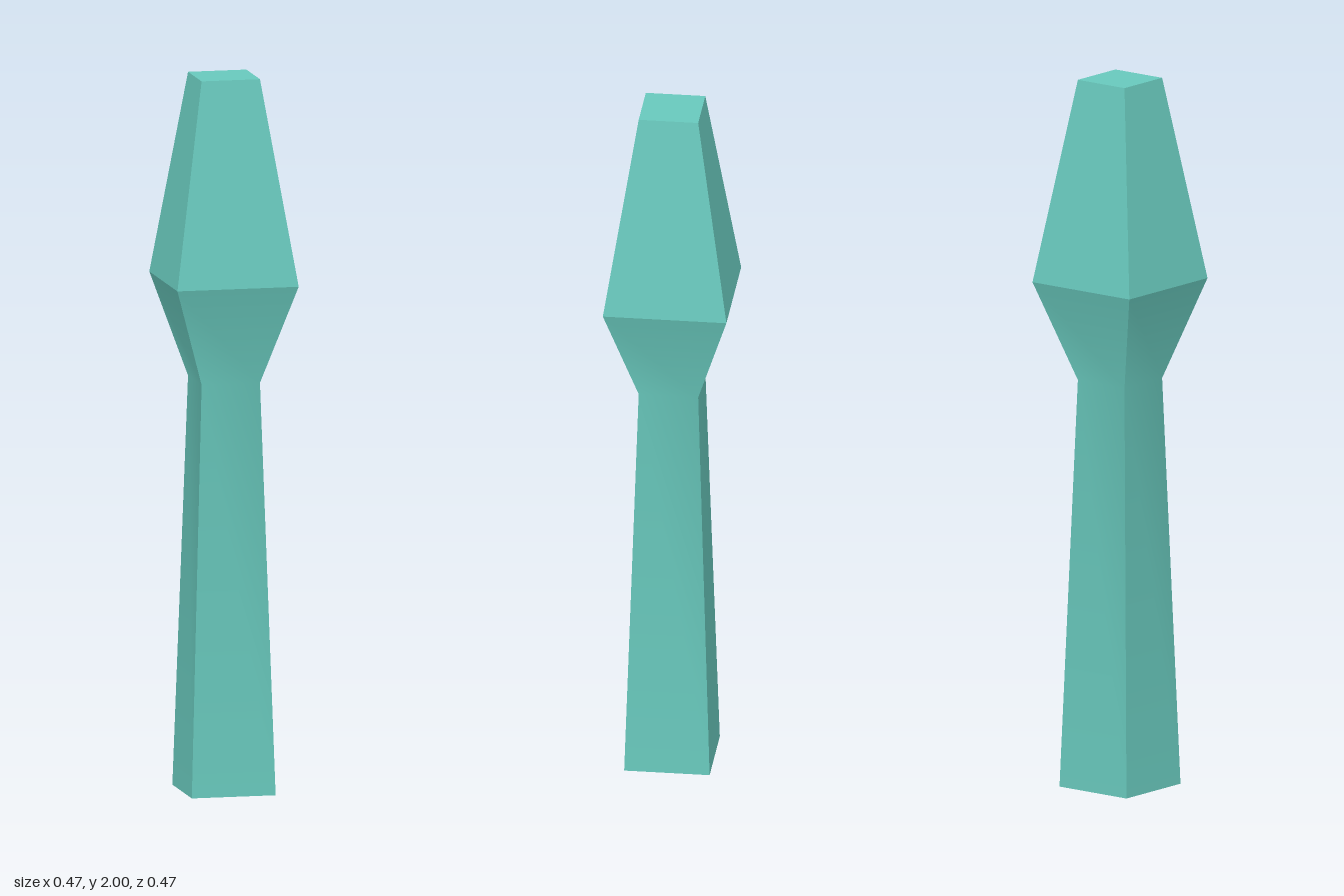
import * as THREE from 'three';
import { toCreasedNormals } from 'three/addons/utils/BufferGeometryUtils.js';

export function createModel() {
  const group = new THREE.Group();
  group.name = 'squareSpear';

  const teal = new THREE.MeshStandardMaterial({ color: 0x68c8bc });
  teal.name = 'teal';

  // Corner radius and height: closed base, tapered shaft, neck, flared head, flat tip
  const profile = [
    [0, 0], [0.168, 0], [0.117, 1.15], [0.243, 1.43], [0.117, 2], [0, 2],
  ].map(([r, y]) => new THREE.Vector2(r, y));

  // Four-sided lathe turned 15 degrees; the neck is soft, all other edges sharp
  const lathe = new THREE.LatheGeometry(profile, 4, THREE.MathUtils.degToRad(15));
  const body = new THREE.Mesh(toCreasedNormals(lathe, THREE.MathUtils.degToRad(20)), teal);
  body.name = 'shaftAndHead';
  group.add(body);

  return group;
}
